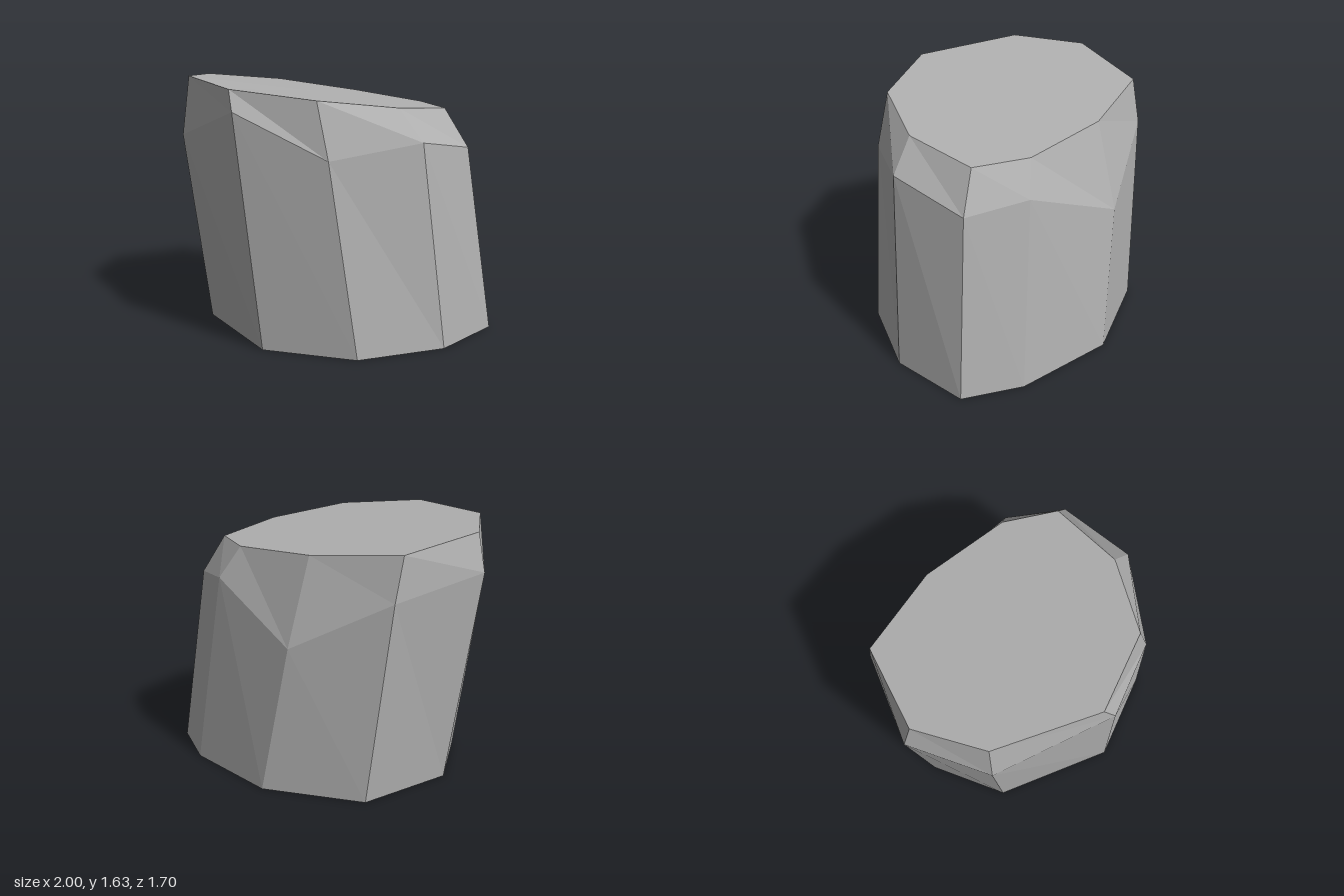
import * as THREE from 'three';

// Cross-sections of the leaning nine-sided stone, counter-clockwise from above.
const baseRing = [
  [-0.82, 0, 0.09], [-0.54, 0, 0.54], [0.23, 0, 0.75],
  [0.77, 0, 0.46], [1.0, 0, -0.08], [0.94, 0, -0.62],
  [0.57, 0, -0.8], [-0.11, 0, -0.85], [-0.71, 0, -0.54],
];
const shoulderRing = [
  [-1.0, 1.37, 0.2], [-0.68, 1.245, 0.645], [0.085, 1.48, 0.845],
  [0.61, 1.21, 0.55], [0.885, 1.295, 0.02], [0.8, 1.2, -0.52],
  [0.43, 1.25, -0.69], [-0.26, 0.94, -0.75], [-0.83, 1.265, -0.43],
];
const topRing = [
  [-0.94, 1.61, 0.21], [-0.66, 1.635, 0.6], [0.015, 1.61, 0.81],
  [0.51, 1.56, 0.55], [0.72, 1.495, 0.06], [0.665, 1.45, -0.44],
  [0.33, 1.455, -0.59], [-0.27, 1.49, -0.57], [-0.835, 1.545, -0.36],
];

function facets(triangles) {
  const geometry = new THREE.BufferGeometry();
  geometry.setAttribute('position', new THREE.Float32BufferAttribute(triangles.flat(2), 3));
  geometry.computeVertexNormals();
  return geometry;
}

// Band of split quads between two rings.
function band(lower, upper) {
  const triangles = [];
  lower.forEach((p, i) => {
    const j = (i + 1) % lower.length;
    triangles.push([p, lower[j], upper[i]], [lower[j], upper[j], upper[i]]);
  });
  return facets(triangles);
}

// Fan that closes a ring, facing up or down.
function cap(ring, up) {
  const centre = [0, 1, 2].map((k) => ring.reduce((sum, p) => sum + p[k], 0) / ring.length);
  return facets(ring.map((p, i) => {
    const next = ring[(i + 1) % ring.length];
    return up ? [centre, p, next] : [centre, next, p];
  }));
}

export function createModel() {
  const stone = new THREE.MeshStandardMaterial({ color: 0xb0b0b0, flatShading: true });
  stone.name = 'grey stone';

  const rock = new THREE.Group();
  rock.name = 'rock';
  const add = (name, geometry) => {
    const mesh = new THREE.Mesh(geometry, stone);
    mesh.name = name;
    rock.add(mesh);
  };

  add('rockSides', band(baseRing, shoulderRing));
  add('chippedBevel', band(shoulderRing, topRing));
  add('slopingTop', cap(topRing, true));
  add('flatBase', cap(baseRing, false));
  return rock;
}
